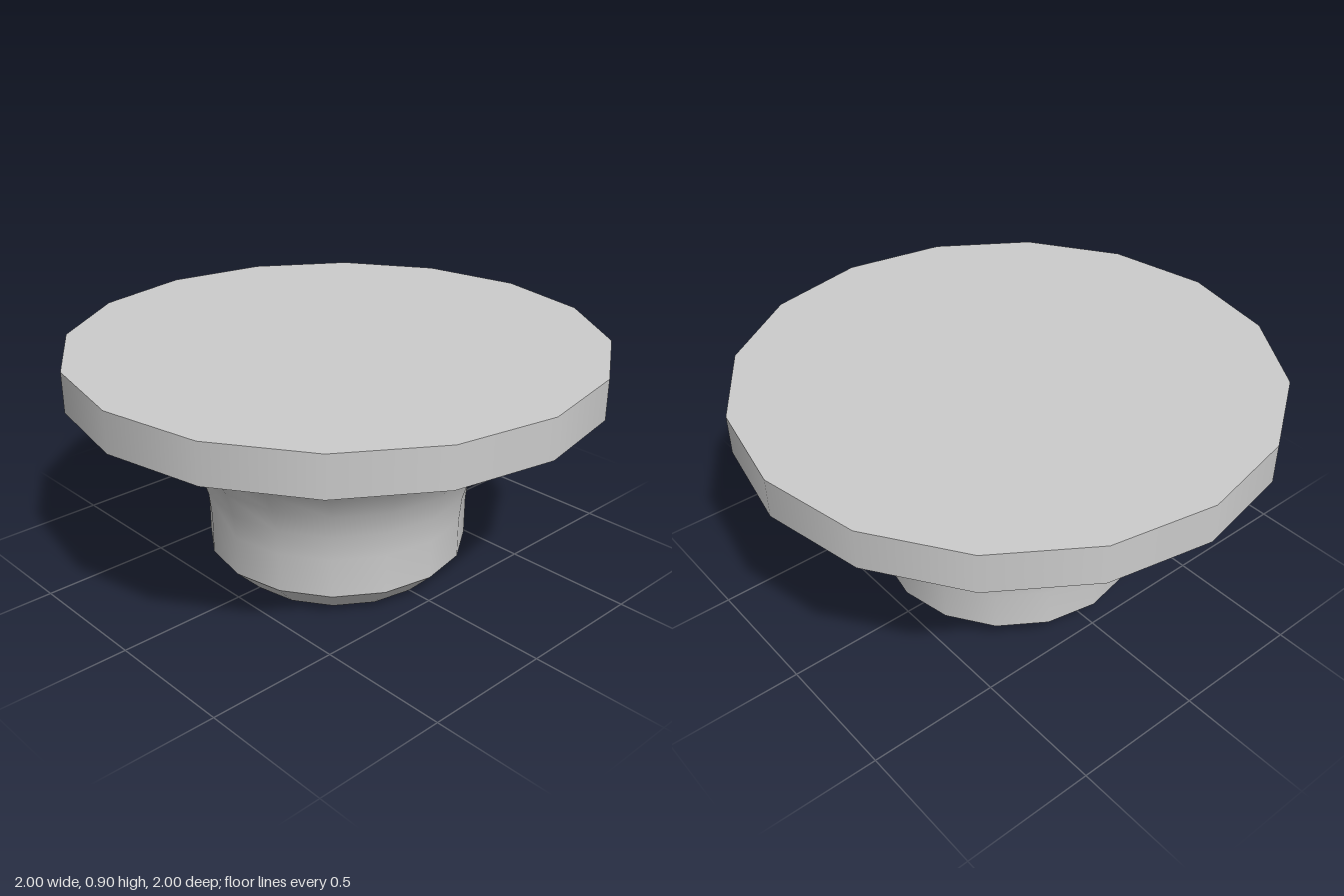
import * as THREE from 'three';

const SIDES = 16;
const material = new THREE.MeshStandardMaterial({ color: 0xcccccc });

// Each band is its own lathe, so the edges between bands stay sharp.
function band(name, points) {
  const profile = points.map(([r, y]) => new THREE.Vector2(r, y));
  const mesh = new THREE.Mesh(new THREE.LatheGeometry(profile, SIDES), material);
  mesh.name = name;
  return mesh;
}

function disc(name, radius, y, facing) {
  const geometry = new THREE.CircleGeometry(radius, SIDES);
  geometry.rotateX(-facing * Math.PI / 2).translate(0, y, 0);
  const mesh = new THREE.Mesh(geometry, material);
  mesh.name = name;
  return mesh;
}

export function createModel() {
  const group = new THREE.Group();
  group.name = 'knob';

  // Straight stem flaring through a quarter circle to the rim
  const flare = [[0.5, 0.1]];
  const steps = 8;
  for (let i = 0; i <= steps; i++) {
    const a = (i / steps) * Math.PI / 2;
    flare.push([1 - 0.5 * Math.cos(a), 0.25 + 0.5 * Math.sin(a)]);
  }

  group.add(
    disc('base', 0.4, 0, -1),
    band('baseChamfer', [[0.4, 0], [0.5, 0.1]]),
    band('flaredStem', flare),
    band('rim', [[1, 0.75], [1, 0.9]]),
    disc('topFace', 1, 0.9, 1),
  );
  return group;
}
